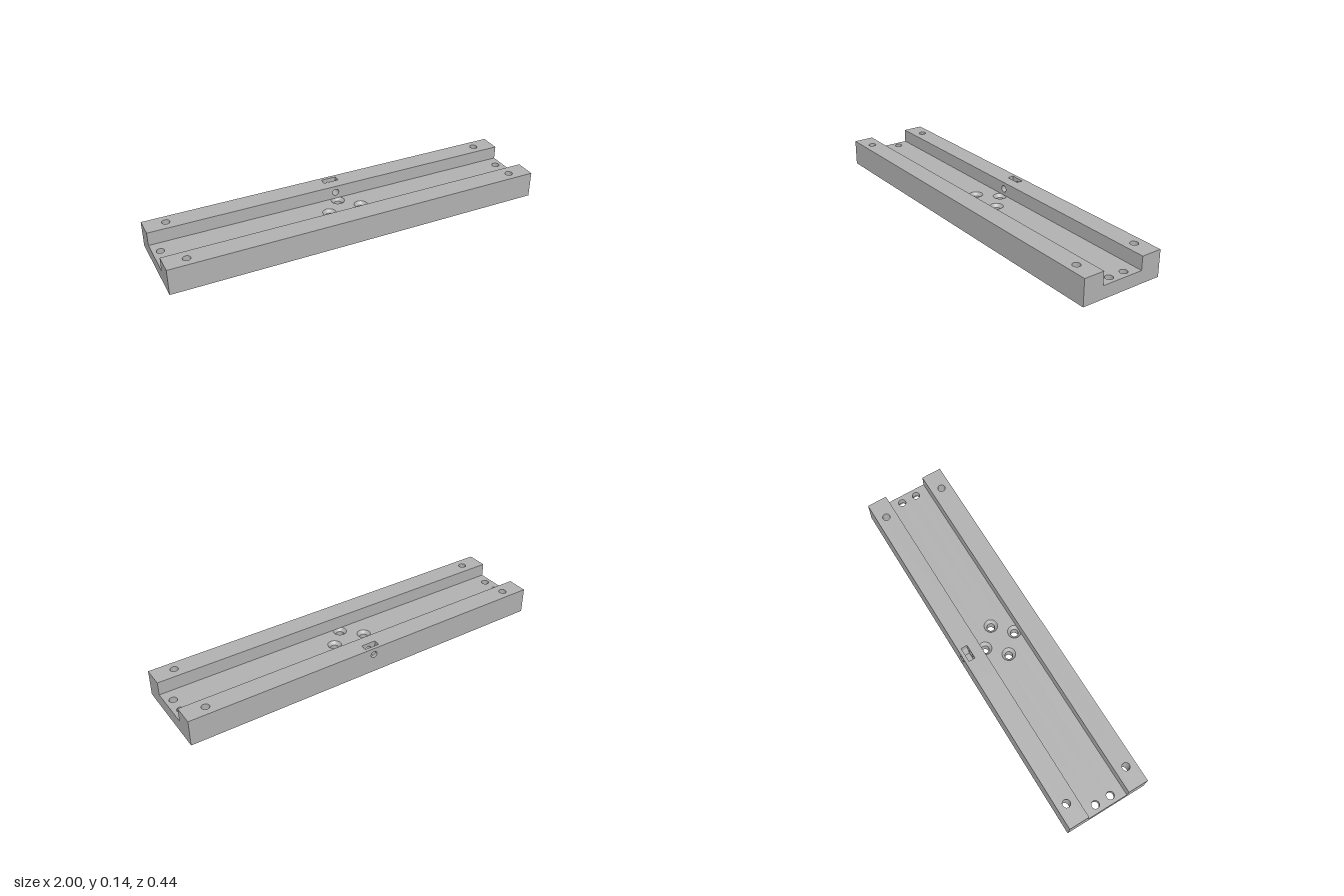
import * as THREE from 'three';

const L = 1, W = 0.222, FLOOR = 0.067, TOP = 0.138, GROOVE = 0.113;
const BORE = 0.02, POCKET_TOP = 0.03, SINK_Y = 0.05, SINK_R = 0.035;
const NUT_R = 0.036, SIDE_Y = 0.102, MID = 0.15;

export function createModel() {
  const group = new THREE.Group();
  group.name = 'channelPlate';
  const grey = new THREE.MeshStandardMaterial({ color: 0xb0b0b0 });
  grey.name = 'grey';

  const add = (name, geometry) => {
    const mesh = new THREE.Mesh(geometry, grey);
    mesh.name = name;
    group.add(mesh);
  };
  const rect = (x0, x1, y0, y1) => new THREE.Shape([
    new THREE.Vector2(x0, y0), new THREE.Vector2(x1, y0),
    new THREE.Vector2(x1, y1), new THREE.Vector2(x0, y1)]);
  // Round hole, or hexagon with points along the second axis
  const hole = (x, y, r, sides = 32) => {
    const pts = [];
    for (let i = 0; i < sides; i++) {
      const a = Math.PI / 2 + i / sides * Math.PI * 2;
      pts.push(new THREE.Vector2(x + r * Math.cos(a), y + r * Math.sin(a)));
    }
    return new THREE.Path(pts);
  };
  const extrude = (shape, depth) =>
    new THREE.ExtrudeGeometry(shape, { depth, bevelEnabled: false });
  // Horizontal layer from a plan outline (second axis is -z)
  const layer = (name, shape, holes, y0, y1) => {
    shape.holes.push(...holes);
    add(name, extrude(shape, y1 - y0).rotateX(-Math.PI / 2).translate(0, y0, 0));
  };

  // Hole positions in plan
  const railBolts = [], endBolts = [];
  for (const sx of [-1, 1]) for (const sz of [-1, 1]) {
    railBolts.push([sx * 0.89, sz * 0.17]);
    endBolts.push([sx * 0.96, sz * 0.043]);
  }
  const bolts = [...railBolts, ...endBolts];
  const centre = [[0.09, 0], [-0.09, 0], [0, 0.088], [0, -0.088]];
  const round = (list, r = BORE) => list.map(([x, y]) => hole(x, y, r));

  // Base in three layers: nut pockets, bores, countersinks
  layer('nutPocketLayer', rect(-L, L, -W, W),
    [...bolts.map(([x, y]) => hole(x, y, NUT_R, 6)), ...round(centre)], 0, POCKET_TOP);
  layer('boreLayer', rect(-L, L, -W, W), round([...bolts, ...centre]), POCKET_TOP, SINK_Y);
  layer('countersinkLayer', rect(-L, L, -W, W),
    [...round(bolts), ...round(centre, SINK_R)], SINK_Y, FLOOR);

  // Conical seats, wound to face the hole axis
  for (const [x, y] of centre) {
    const seat = new THREE.LatheGeometry(
      [new THREE.Vector2(SINK_R, FLOOR), new THREE.Vector2(BORE, SINK_Y)], 32);
    add('countersink', seat.translate(x, 0, -y));
  }

  // Front rail, and the two ends of the back rail
  layer('frontRail', rect(-L, L, -W, -GROOVE),
    round(railBolts.filter(p => p[1] < 0)), FLOOR, TOP);
  for (const s of [-1, 1]) {
    layer('backRailEnd', rect(Math.min(s * MID, s * L), Math.max(s * MID, s * L), GROOVE, W),
      round(railBolts.filter(p => p[1] > 0 && p[0] * s > 0)), FLOOR, TOP);
  }

  // Middle of the back rail: drilled slabs either side of a nut slot
  const slab = (name, shape, z0, z1) =>
    add(name, extrude(shape, z1 - z0).translate(0, 0, z0));
  for (const [z0, z1] of [[-W, -0.204], [-0.17, -GROOVE]]) {
    const shape = rect(-MID, MID, FLOOR, TOP);
    shape.holes.push(hole(0, SIDE_Y, 0.018));
    slab('drilledBackRail', shape, z0, z1);
  }
  const slot = new THREE.Shape();
  [[-MID, FLOOR], [MID, FLOOR], [MID, TOP], [0.04, TOP], [0.04, SIDE_Y],
    [0.02, FLOOR + 0.001], [-0.02, FLOOR + 0.001], [-0.04, SIDE_Y],
    [-0.04, TOP], [-MID, TOP]].forEach(([x, y], i) => i ? slot.lineTo(x, y) : slot.moveTo(x, y));
  slab('nutSlot', slot, -0.204, -0.17);

  return group;
}
